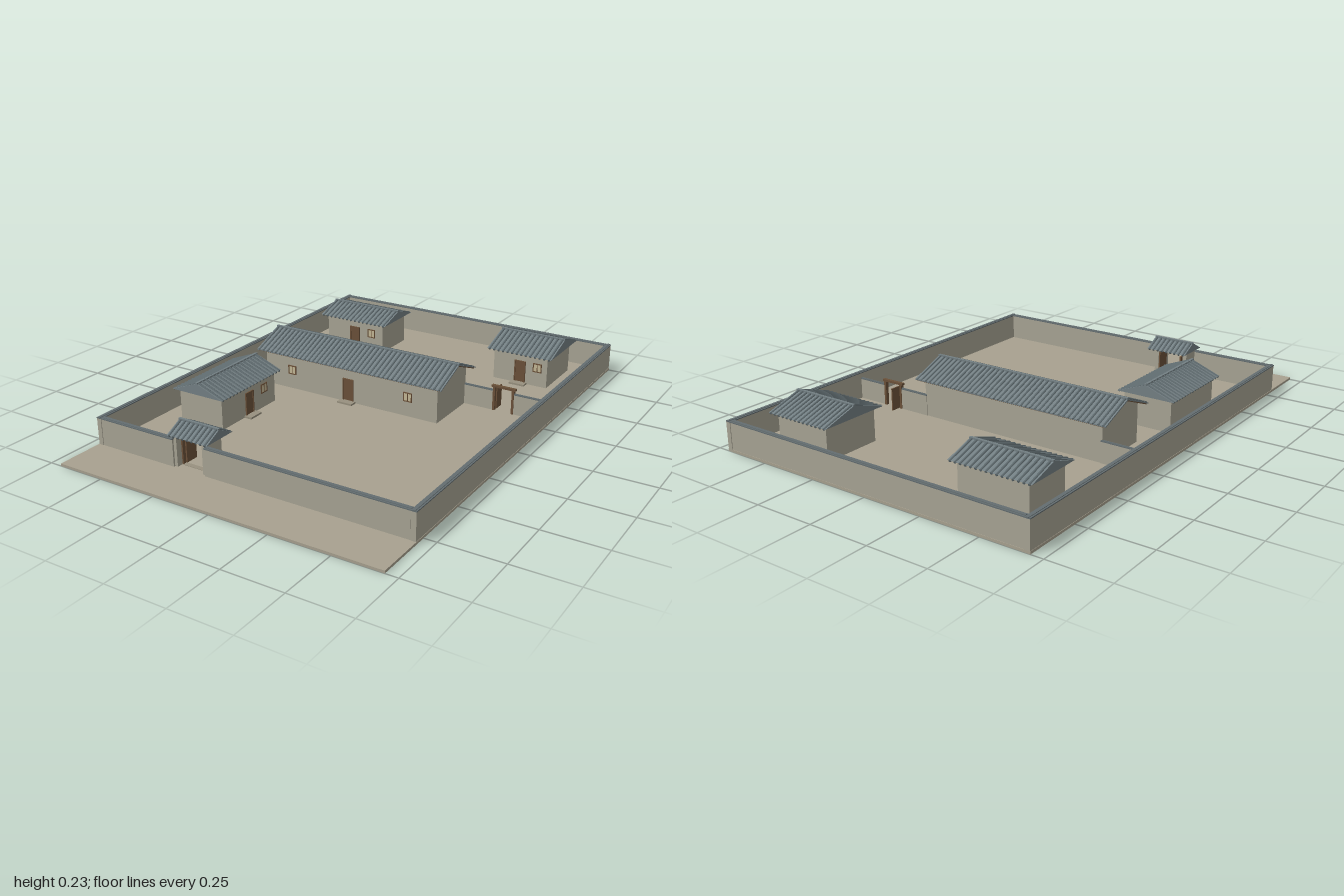
import * as THREE from 'three';
import { mergeGeometries } from 'three/addons/utils/BufferGeometryUtils.js';

const mat = (name, color) => {
  const m = new THREE.MeshStandardMaterial({ color });
  m.name = name;
  return m;
};

export function createModel() {
  const earth = mat('packed earth', 0xa8a18f);
  const plaster = mat('wall plaster', 0xa8a494);
  const tile = mat('roof tile', 0x748084);
  const rib = mat('tile rib', 0x606c70);
  const cap = mat('wall cap', 0x636d70);
  const wood = mat('timber', 0x6b5139);
  const paper = mat('window paper', 0xc4b896);
  const stone = mat('step stone', 0x98917f);

  const root = new THREE.Group();
  root.name = 'walledCompound';

  const add = (parent, name, geo, material) => {
    const m = new THREE.Mesh(geo, material);
    m.name = name;
    parent.add(m);
    return m;
  };
  // box centred on x and z, standing on y
  const box = (parent, name, material, w, h, d, x, y, z) => {
    const m = add(parent, name, new THREE.BoxGeometry(w, h, d), material);
    m.position.set(x, y + h / 2, z);
    return m;
  };
  // cross-section in (z, y) run along x
  const prism = (pts, len) => {
    const shape = new THREE.Shape(pts.map(p => new THREE.Vector2(p[0], p[1])));
    const g = new THREE.ExtrudeGeometry(shape, { depth: len, bevelEnabled: false });
    return g.rotateY(Math.PI / 2).translate(-len / 2, 0, 0);
  };
  const chevron = (hd, eave, ridge, t) =>
    [[-hd, eave], [-hd, eave - t], [0, ridge - t], [hd, eave - t], [hd, eave], [0, ridge]];

  // gabled roof with its ridge along x; a closed roof has filled gables
  function roof(parent, { w, d, eave, ridge, closed }) {
    const g = new THREE.Group();
    g.name = 'roof';
    parent.add(g);
    const hd = d / 2;
    if (closed) {
      add(g, 'roofBody', prism([[-hd, eave], [hd, eave], [0, ridge - 0.003]], w), tile);
    } else {
      add(g, 'roofSlab', prism(chevron(hd, eave, ridge - 0.003, 0.005), w), tile);
      add(g, 'eaveBoard', prism(chevron(hd - 0.004, eave - 0.004, ridge - 0.008, 0.004), w - 0.01), wood);
    }
    // tile ribs running down both slopes
    const ribs = [];
    const n = Math.round(w / 0.0215);
    const h = ridge - eave;
    for (const s of [-1, 1]) {
      for (let i = 0; i < n; i++) {
        const c = new THREE.CylinderGeometry(0.005, 0.005, Math.hypot(hd, h), 6);
        c.rotateX(Math.atan2(s * hd, -h));
        c.translate(-w / 2 + (i + 0.5) * w / n, (eave + ridge) / 2 - 0.002, s * hd / 2);
        ribs.push(c);
      }
    }
    add(g, 'tileRibs', mergeGeometries(ribs), rib);
    box(g, 'ridgeBar', tile, w, 0.008, 0.01, 0, ridge - 0.006, 0);
  }

  function windowUnit(parent, x, z) {
    const g = new THREE.Group();
    g.name = 'window';
    g.position.set(x, 0.075, z);
    parent.add(g);
    box(g, 'paperPane', paper, 0.036, 0.036, 0.004, 0, 0.002, 0);
    for (const s of [-1, 1]) {
      box(g, 'frameSide', wood, 0.004, 0.04, 0.008, s * 0.018, 0, 0);
      box(g, 'frameRail', wood, 0.04, 0.004, 0.008, 0, s > 0 ? 0.036 : 0, 0);
    }
    box(g, 'mullion', wood, 0.003, 0.04, 0.007, 0, 0, 0);
  }

  // house facing its own +z
  function house(name, { x, z, turn = 0, w, d, roofW, roofD, eave, ridge, closed, windows }) {
    const g = new THREE.Group();
    g.name = name;
    g.position.set(x, 0, z);
    g.rotation.y = turn;
    root.add(g);
    if (closed) {
      box(g, 'walls', plaster, w, eave - 0.005, d, 0, 0.005, 0);
    } else {
      const top = ridge - 0.009;
      const side = top - (ridge - eave) * d / roofD;
      add(g, 'walls', prism([[-d / 2, 0.005], [d / 2, 0.005], [d / 2, side], [0, top], [-d / 2, side]], w), plaster);
    }
    roof(g, { w: roofW, d: roofD, eave, ridge, closed });
    box(g, 'door', wood, 0.042, 0.092, 0.006, 0, 0.016, d / 2);
    for (const s of [-1, 1]) box(g, 'doorPost', wood, 0.005, 0.096, 0.012, s * 0.023, 0.016, d / 2);
    box(g, 'doorLintel', wood, 0.051, 0.005, 0.012, 0, 0.109, d / 2);
    box(g, 'doorStep', stone, 0.07, 0.01, 0.035, 0, 0.008, d / 2 + 0.017);
    windows.forEach(wx => windowUnit(g, wx, d / 2));
  }

  // ground slab
  box(root, 'ground', earth, 1.4, 0.01, 2, 0, 0, 0);

  // walls with a two-step tiled cap
  const wall = (name, x0, x1, z0, z1, h) => {
    const w = x1 - x0, d = z1 - z0, x = (x0 + x1) / 2, z = (z0 + z1) / 2;
    const alongX = w > d;
    box(root, name, plaster, w - (alongX ? 0 : 0.003), h - 0.009, d - (alongX ? 0.003 : 0), x, 0.004, z);
    box(root, name + 'Cap', cap, w, 0.004, d, x, h - 0.005, z);
    box(root, name + 'CapRidge', cap, alongX ? w : w * 0.45, 0.003, alongX ? d * 0.45 : d, x, h - 0.002, z);
  };
  wall('rightWall', -0.7, -0.677, -1, 0.8, 0.124);
  wall('leftWall', 0.677, 0.7, -1, 0.8, 0.124);
  wall('backWall', -0.677, 0.677, -1, -0.977, 0.124);
  wall('frontWallRight', -0.677, -0.325, 0.777, 0.8, 0.124);
  wall('frontWallLeft', -0.178, 0.677, 0.777, 0.8, 0.124);

  // partition beside the hall
  wall('partitionRight', -0.677, -0.515, -0.306, -0.294, 0.1);
  wall('partitionMiddle', 0.315, 0.452, -0.306, -0.294, 0.1);
  wall('partitionLeft', 0.542, 0.677, -0.306, -0.294, 0.1);

  // inner gate with one leaf standing open
  const inner = new THREE.Group();
  inner.name = 'innerGate';
  inner.position.set(0.497, 0, -0.3);
  root.add(inner);
  for (const s of [-1, 1]) box(inner, 'gatePost', wood, 0.01, 0.105, 0.014, s * 0.042, 0.01, 0);
  box(inner, 'gateLintel', wood, 0.106, 0.009, 0.014, 0, 0.112, 0);
  box(inner, 'gateLeaf', wood, 0.005, 0.094, 0.045, -0.035, 0.014, -0.028);

  // houses
  house('mainHall', {
    x: -0.1, z: -0.177, w: 0.84, d: 0.25, roofW: 0.9, roofD: 0.304,
    eave: 0.169, ridge: 0.231, closed: false, windows: [-0.285, 0.285]
  });
  house('backRightHouse', {
    x: -0.425, z: -0.727, w: 0.3, d: 0.205, roofW: 0.35, roofD: 0.25,
    eave: 0.15, ridge: 0.192, closed: true, windows: [0.09]
  });
  house('backLeftHouse', {
    x: 0.425, z: -0.75, w: 0.25, d: 0.25, roofW: 0.3, roofD: 0.3,
    eave: 0.151, ridge: 0.201, closed: true, windows: [0.08]
  });
  house('sideHouse', {
    x: -0.477, z: 0.275, turn: Math.PI / 2, w: 0.35, d: 0.21, roofW: 0.395, roofD: 0.25,
    eave: 0.146, ridge: 0.196, closed: true, windows: [0.1]
  });

  // roofed front gate
  const gate = new THREE.Group();
  gate.name = 'frontGate';
  gate.position.set(-0.252, 0, 0.728);
  root.add(gate);
  roof(gate, { w: 0.187, d: 0.15, eave: 0.136, ridge: 0.176, closed: true });
  for (const s of [-1, 1]) {
    box(gate, 'gatePier', plaster, 0.018, 0.13, 0.09, s * 0.069, 0.006, 0.018);
    box(gate, 'gatePost', wood, 0.007, 0.115, 0.014, s * 0.057, 0.01, 0.03);
    box(gate, 'gateLeaf', wood, 0.006, 0.1, 0.055, s * 0.052, 0.013, -0.006);
  }
  box(gate, 'gateLintel', wood, 0.124, 0.016, 0.02, 0, 0.118, 0.03);
  box(gate, 'gateSill', stone, 0.12, 0.004, 0.02, 0, 0.008, 0.03);

  return root;
}
